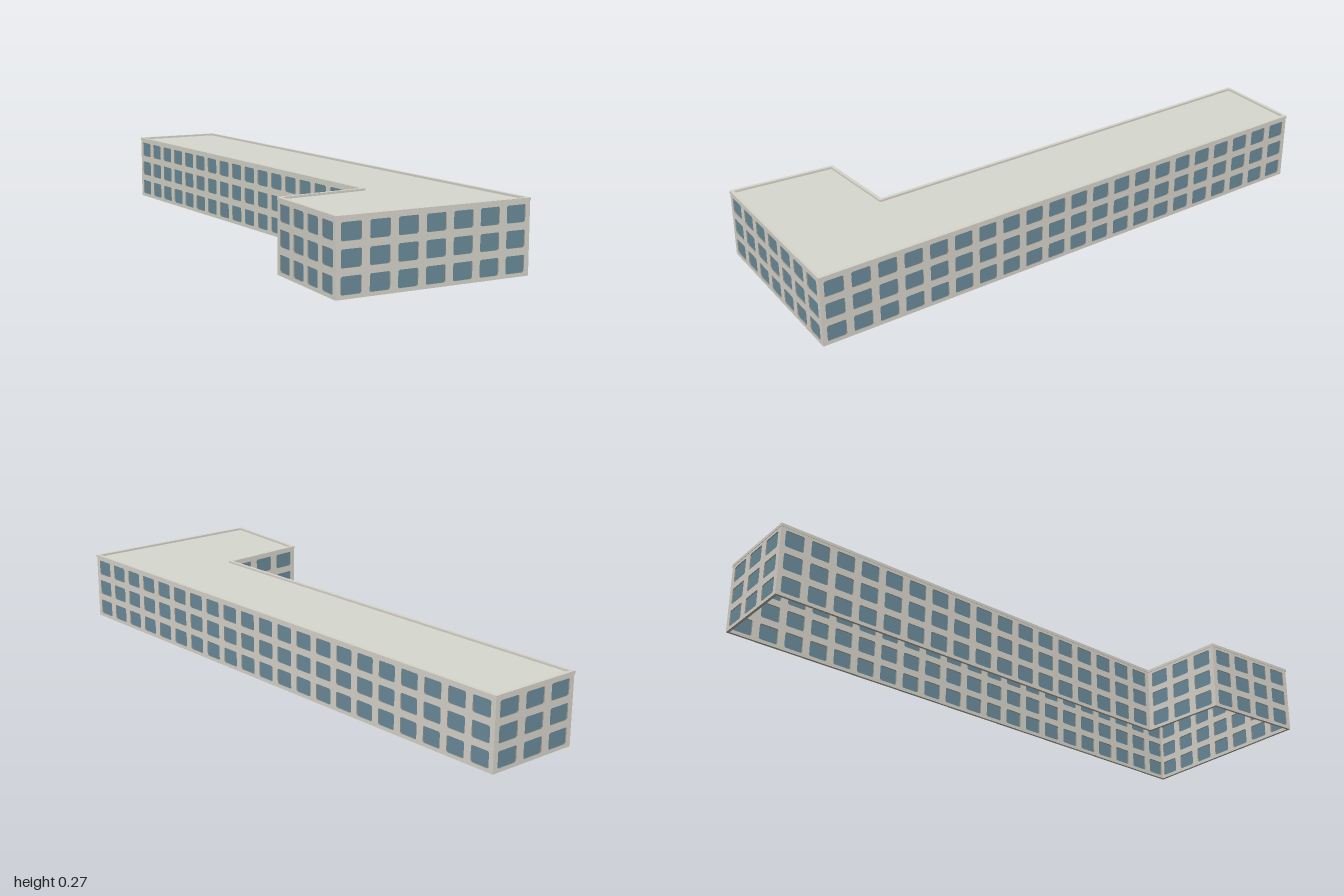
import * as THREE from 'three';

const mat = (name, color, side = THREE.FrontSide) => {
  const m = new THREE.MeshStandardMaterial({ color, side });
  m.name = name;
  return m;
};

// Footprint corners [x, z] with the window columns of the wall that starts there
const CORNERS = [
  [-0.998, -0.68, 17], [0.408, 0.39, 3], [0.203, 0.67, 4],
  [0.505, 0.949, 7], [0.998, 0.38, 21], [-0.76, -0.952, 3],
];
const FLOORS = 3, FLOOR_H = 0.0865, SILL = 0.013, WIN_H = 0.061;
const WALL_H = 0.26, THICK = 0.01, ROOF_Y = 0.26, TOP = 0.268;

// Footprint moved inward by d with mitred corners
function inset(d) {
  const n = CORNERS.length;
  const normal = (i) => {
    const a = CORNERS[(i + n) % n], b = CORNERS[(i + 1) % n];
    return new THREE.Vector2(b[1] - a[1], a[0] - b[0]).normalize();
  };
  return CORNERS.map(([x, z], i) => {
    const n1 = normal(i - 1), n2 = normal(i);
    const k = d / (1 + n1.dot(n2));
    return new THREE.Vector2(x + (n1.x + n2.x) * k, z + (n1.y + n2.y) * k);
  });
}

const planPoints = (d) => inset(d).map((p) => new THREE.Vector2(p.x, -p.y));

// Window opening with clipped corners
function windowPath(x, y, w, h, c = 0.005) {
  const points = [
    [x + c, y], [x, y + c], [x, y + h - c], [x + c, y + h],
    [x + w - c, y + h], [x + w, y + h - c], [x + w, y + c], [x + w - c, y],
  ];
  return new THREE.Path(points.map(([px, py]) => new THREE.Vector2(px, py)));
}

export function createModel() {
  const wallMat = mat('pale concrete', 0xd2d0c6);
  const revealMat = mat('window reveal', 0x9c978c);
  const glassMat = mat('blue glass', 0x688897, THREE.DoubleSide);
  const roofMat = mat('grey roof', 0xd3d4cb, THREE.DoubleSide);

  const model = new THREE.Group();
  model.name = 'officeBuilding';
  const outer = inset(0), inner = inset(THICK);

  CORNERS.forEach(([, , columns], i) => {
    const a = outer[i], j = (i + 1) % CORNERS.length, b = outer[j];
    const dir = b.clone().sub(a), length = dir.length();
    dir.normalize();

    // Wall with a regular grid of window openings
    const shape = new THREE.Shape([
      new THREE.Vector2(0, 0), new THREE.Vector2(length, 0),
      new THREE.Vector2(length, WALL_H), new THREE.Vector2(0, WALL_H),
    ]);
    const margin = 0.004, pitch = (length - 2 * margin) / columns, winW = pitch * 0.72;
    for (let c = 0; c < columns; c++) {
      for (let f = 0; f < FLOORS; f++) {
        const x = margin + (c + 0.5) * pitch - winW / 2;
        shape.holes.push(windowPath(x, SILL + f * FLOOR_H, winW, WIN_H));
      }
    }
    const geo = new THREE.ExtrudeGeometry(shape, { depth: THICK, bevelEnabled: false });
    geo.translate(0, 0, -THICK);

    // Mitre the inner face where walls meet
    const startX = inner[i].clone().sub(a).dot(dir), endX = inner[j].clone().sub(a).dot(dir);
    const pos = geo.attributes.position;
    for (let k = 0; k < pos.count; k++) {
      if (pos.getZ(k) > -THICK / 2) continue;
      if (pos.getX(k) < 1e-5) pos.setX(k, startX);
      else if (pos.getX(k) > length - 1e-5) pos.setX(k, endX);
    }
    geo.computeVertexNormals();

    const side = new THREE.Group();
    side.name = 'facade' + (i + 1);
    const wall = new THREE.Mesh(geo, [wallMat, revealMat]);
    wall.name = 'wall';

    // Glass sheet set slightly back within the wall thickness
    const glass = new THREE.Mesh(new THREE.PlaneGeometry(length - 0.02, WALL_H - 0.01), glassMat);
    glass.name = 'windowGlass';
    glass.position.set(length / 2, WALL_H / 2, -0.004);
    side.add(wall, glass);
    side.position.set(a.x, 0, a.y);
    side.rotation.y = Math.atan2(-dir.y, dir.x);
    model.add(side);
  });

  // Flat roof slab
  const roof = new THREE.Mesh(new THREE.ShapeGeometry(new THREE.Shape(planPoints(0.004))), roofMat);
  roof.name = 'roof';
  roof.rotation.x = -Math.PI / 2;
  roof.position.y = ROOF_Y;
  model.add(roof);

  // Low coping around the roof edge
  const rim = new THREE.Shape(planPoints(-0.002));
  rim.holes.push(new THREE.Path(planPoints(0.011)));
  const coping = new THREE.Mesh(
    new THREE.ExtrudeGeometry(rim, { depth: TOP - ROOF_Y + 0.003, bevelEnabled: false }),
    wallMat);
  coping.name = 'roofCoping';
  coping.rotation.x = -Math.PI / 2;
  coping.position.y = ROOF_Y - 0.003;
  model.add(coping);

  return model;
}
